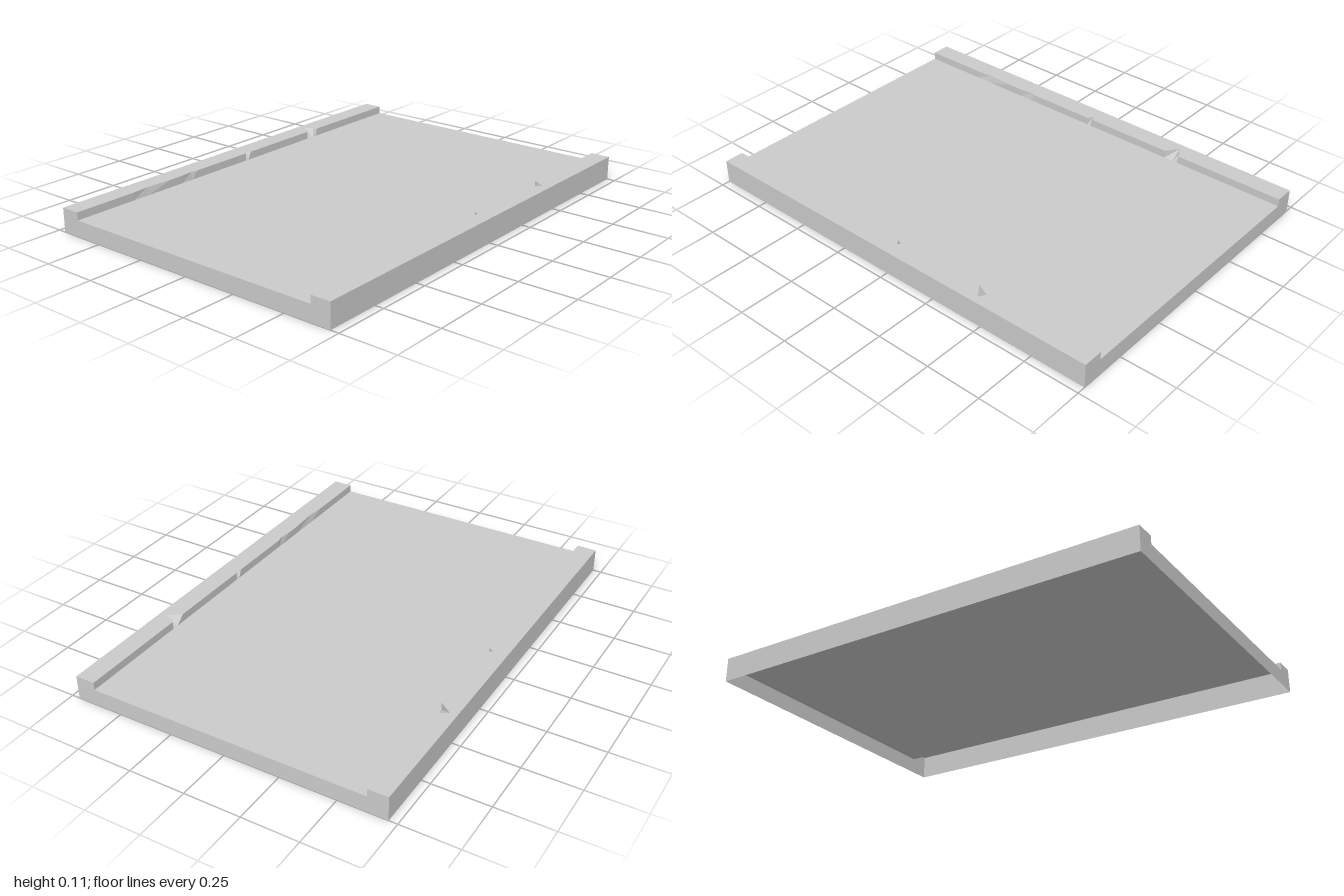
import * as THREE from 'three';

const W = 0.713, INNER = 0.624, DECK = 0.073, TOP = 0.108, HALF = 1;

// [z, depth] of the small nicks along the inner top edge of each rail
const NICKS = [
  [-HALF, 0], [-0.492, 0], [-0.485, 0.02], [-0.462, 0.056], [-0.42, 0],
  [-0.02, 0], [0, 0.024], [0.015, 0],
  [0.33, 0], [0.36, 0.006], [0.42, 0], [0.49, 0], [0.62, 0.007], [0.7, 0], [HALF, 0],
];

const material = new THREE.MeshStandardMaterial({
  color: 0xcccccc, flatShading: true, side: THREE.DoubleSide,
});

function part(name, geometry) {
  const mesh = new THREE.Mesh(geometry, material);
  mesh.name = name;
  return mesh;
}

// Sweeps a cross-section, which may vary with the nick depth, along z
function sweep(rows, section) {
  const positions = [], index = [];
  const n = section(0).length;
  rows.forEach(([z, depth], r) => {
    section(depth).forEach(([x, y]) => positions.push(x, y, z));
    if (r === 0) return;
    for (let k = 0; k < n - 1; k++) {
      const a = (r - 1) * n + k, b = a + 1, c = r * n + k, d = c + 1;
      index.push(a, b, c, b, d, c);
    }
  });
  const geometry = new THREE.BufferGeometry();
  geometry.setAttribute('position', new THREE.Float32BufferAttribute(positions, 3));
  geometry.setIndex(index);
  const flat = geometry.toNonIndexed();
  flat.computeVertexNormals();
  return flat;
}

export function createModel() {
  const group = new THREE.Group();
  group.name = 'railedTray';

  // Raised side rails with their outer walls; the underside is open
  const rail = (d) => [[W, 0], [W, TOP], [INNER + d, TOP], [INNER, DECK]];
  const mirrored = (d) => rail(d).map(([x, y]) => [-x, y]).reverse();
  group.add(part('leftRail', sweep(NICKS, rail)));
  group.add(part('rightRail', sweep(NICKS, mirrored)));

  // Flat deck between the rails
  const ends = [[-HALF, 0], [HALF, 0]];
  group.add(part('deck', sweep(ends, () => [[INNER, DECK], [-INNER, DECK]])));

  // Thin end walls following the stepped section
  const outline = [...rail(0), ...mirrored(0)].map(([x, y]) => new THREE.Vector2(x, y));
  const wall = new THREE.ShapeGeometry(new THREE.Shape(outline));
  const front = part('frontWall', wall);
  front.position.z = HALF;
  const back = part('backWall', wall);
  back.position.z = -HALF;
  back.rotation.y = Math.PI;
  group.add(front, back);

  return group;
}
